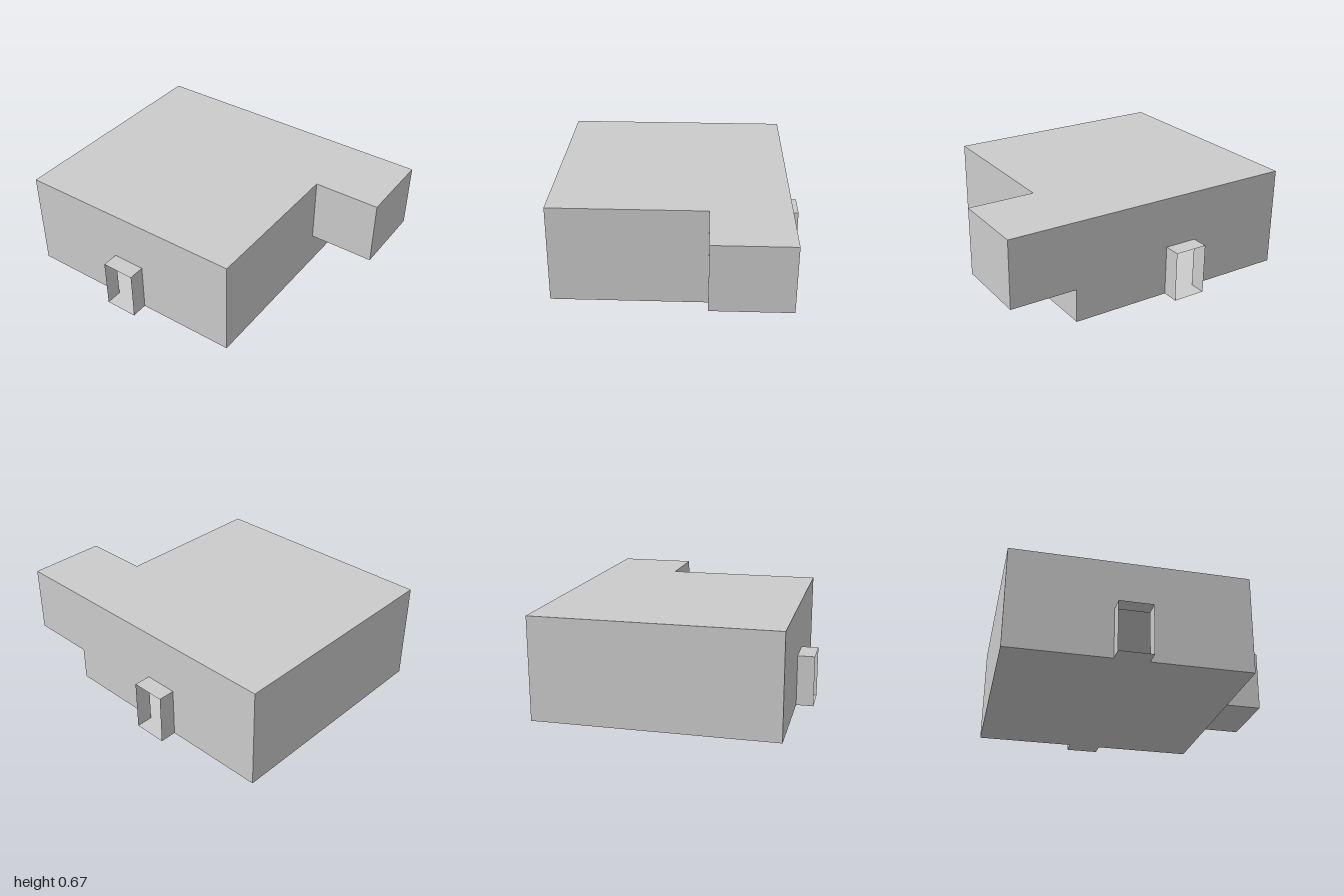
import * as THREE from 'three';

// Main dimensions
const W = 0.778, H = 0.667, BACK = -1, FRONT = 0.556, END = 1;
const HALL_X = 0.259, HALL_Y = 0.222;
const DOOR_OUT = 0.889, DOOR_H = 0.333, DOOR_Z0 = -0.333, DOOR_Z1 = -0.111;

const material = new THREE.MeshStandardMaterial({ color: 0xcccccc, flatShading: true, side: THREE.DoubleSide });

// Local axes of a panel for each direction it faces
const X = new THREE.Vector3(1, 0, 0), Y = new THREE.Vector3(0, 1, 0), Z = new THREE.Vector3(0, 0, 1);
const neg = (v) => v.clone().negate();
const FACING = {
  left: { u: neg(Z), v: Y, n: X, at: (z, y) => [-z, y] },
  right: { u: Z, v: Y, n: neg(X), at: (z, y) => [z, y] },
  up: { u: X, v: neg(Z), n: Y, at: (x, z) => [x, -z] },
  down: { u: X, v: Z, n: neg(Y), at: (x, z) => [x, z] },
  front: { u: X, v: Y, n: Z, at: (x, y) => [x, y] },
  back: { u: neg(X), v: Y, n: neg(Z), at: (x, y) => [-x, y] },
};

const rect = (a0, b0, a1, b1) => [[a0, b0], [a1, b0], [a1, b1], [a0, b1]];

// Flat panel from an outline in world coordinates, lying at `offset` on its axis
function panel(name, facing, offset, outline) {
  const { u, v, n, at } = FACING[facing];
  const shape = new THREE.Shape(outline.map(([a, b]) => new THREE.Vector2(...at(a, b))));
  const geometry = new THREE.ShapeGeometry(shape);
  geometry.applyMatrix4(new THREE.Matrix4().makeBasis(u, v, n));
  const axis = new THREE.Vector3(Math.abs(n.x), Math.abs(n.y), Math.abs(n.z)).multiplyScalar(offset);
  geometry.translate(axis.x, axis.y, axis.z);
  const mesh = new THREE.Mesh(geometry, material);
  mesh.name = name;
  return mesh;
}

// Doorway cut into the bottom edge of a side wall
const doorway = [[DOOR_Z0, 0], [DOOR_Z0, DOOR_H], [DOOR_Z1, DOOR_H], [DOOR_Z1, 0]];

// Short open-ended passage outside a doorway
function sidePassage(name, side) {
  const group = new THREE.Group();
  group.name = name;
  const x0 = side * W, x1 = side * DOOR_OUT;
  group.add(
    panel('passageRoof', 'up', DOOR_H, rect(x0, DOOR_Z0, x1, DOOR_Z1)),
    panel('passageFloor', 'down', 0, rect(x0, DOOR_Z0, x1, DOOR_Z1)),
    panel('passageFrontWall', 'front', DOOR_Z1, rect(x0, 0, x1, DOOR_H)),
    panel('passageBackWall', 'back', DOOR_Z0, rect(x0, 0, x1, DOOR_H)),
  );
  return group;
}

export function createModel() {
  const model = new THREE.Group();
  model.name = 'hollowRoom';

  // Room shell
  model.add(
    panel('roof', 'up', H, [[-W, BACK], [W, BACK], [W, END], [HALL_X, END], [HALL_X, FRONT], [-W, FRONT]]),
    panel('floor', 'down', 0, rect(-W, BACK, W, FRONT)),
    panel('backWall', 'back', BACK, rect(-W, 0, W, H)),
    panel('frontWall', 'front', FRONT, [[-W, 0], [W, 0], [W, HALL_Y], [HALL_X, HALL_Y], [HALL_X, H], [-W, H]]),
    panel('leftWall', 'left', W,
      [[BACK, 0], ...doorway, [FRONT, 0], [FRONT, HALL_Y], [END, HALL_Y], [END, H], [BACK, H]]),
    panel('rightWall', 'right', -W, [[BACK, 0], ...doorway, [FRONT, 0], [FRONT, H], [BACK, H]]),
  );

  // Raised front hall
  model.add(
    panel('hallFloor', 'down', HALL_Y, rect(HALL_X, FRONT, W, END)),
    panel('hallEndWall', 'front', END, rect(HALL_X, HALL_Y, W, H)),
    panel('hallInnerWall', 'right', HALL_X, rect(FRONT, HALL_Y, END, H)),
  );

  // Side passages
  model.add(sidePassage('leftPassage', 1), sidePassage('rightPassage', -1));
  return model;
}
